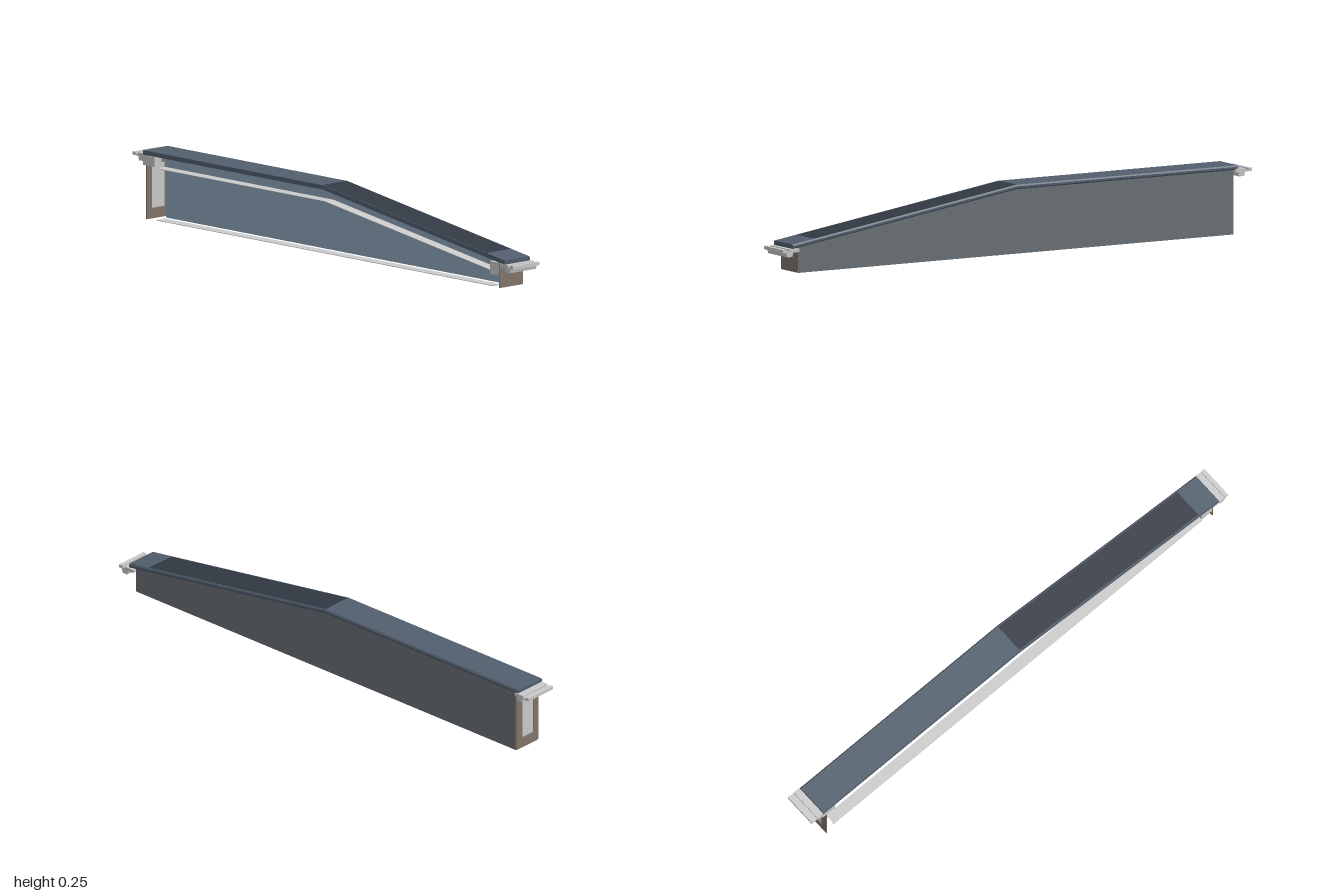
import * as THREE from 'three';

const mat = (color) => new THREE.MeshStandardMaterial({ color, flatShading: true, side: THREE.DoubleSide });
const GREY = mat(0xcccccc), BLUE = mat(0x525f6e), DARK = mat(0x333a44);
const WALL = mat(0x6b7278), PALE = mat(0x90a8be), BROWN = mat(0x82766b);

// height of the cap: level at the rear, sloping down to the front
const top = (z) => (z > 0 ? 0.252 - 0.153 * z : 0.252);

// skin convex cross-sections (counter-clockwise in x, y) placed at rising z
function loft(zs, section) {
  const rings = zs.map((z) => section(z).map(([x, y]) => [x, y, z]));
  const pos = [];
  const tri = (...p) => p.forEach((v) => pos.push(...v));
  const n = rings[0].length;
  for (let i = 0; i < rings.length - 1; i++) {
    for (let j = 0; j < n; j++) {
      const k = (j + 1) % n;
      tri(rings[i][j], rings[i][k], rings[i + 1][k]);
      tri(rings[i][j], rings[i + 1][k], rings[i + 1][j]);
    }
  }
  const first = rings[0], last = rings[rings.length - 1];
  for (let j = 1; j < n - 1; j++) {
    tri(first[0], first[j + 1], first[j]);
    tri(last[0], last[j], last[j + 1]);
  }
  const g = new THREE.BufferGeometry();
  g.setAttribute('position', new THREE.Float32BufferAttribute(pos, 3));
  g.computeVertexNormals();
  return g;
}

const rect = (x0, x1, y0, y1) => [[x0, y0], [x1, y0], [x1, y1], [x0, y1]];
const toShape = (points) => new THREE.Shape(points.map((p) => new THREE.Vector2(...p)));

export function createModel() {
  const model = new THREE.Group();
  const add = (name, geometry, material) => {
    const m = new THREE.Mesh(geometry, material);
    m.name = name;
    model.add(m);
    return m;
  };
  const box = (name, x0, x1, y0, y1, z0, z1, material) => {
    const m = add(name, new THREE.BoxGeometry(x1 - x0, y1 - y0, z1 - z0), material);
    m.position.set((x0 + x1) / 2, (y0 + y1) / 2, (z0 + z1) / 2);
  };

  // folded cap with a chamfered outer edge
  add('cap', loft([-0.945, 0, 0.955], (z) => {
    const t = top(z);
    return [[-0.067, t - 0.016], [0.058, t - 0.016], [0.061, t - 0.012], [0.061, t - 0.005],
      [0.056, t], [-0.067, t]];
  }), BLUE);
  // dark inlay on the slope
  add('slopeInlay', loft([0, 0.86], (z) => rect(-0.062, 0.053, top(z) - 0.001, top(z) + 0.001)), DARK);

  // outer side wall and the pale panel standing behind it
  add('sideWall', loft([-0.926, 0, 0.926], (z) => rect(0.049, 0.053, 0, top(z) - 0.012)), WALL);
  add('innerPanel', loft([-0.905, 0, 0.905], (z) => rect(0.01, 0.012, 0, top(z) - 0.017)), PALE);

  // open side: floor strip and the strip that follows the cap
  box('floorStrip', -0.056, -0.013, 0, 0.002, -0.885, 0.885, GREY);
  add('upperStrip', loft([-0.885, 0, 0.885], (z) => rect(-0.056, -0.013, top(z) - 0.062, top(z) - 0.06)), GREY);

  // rear end panel: a frame around a recessed plate
  const frame = toShape([[-0.065, 0], [0.052, 0], [0.052, 0.238], [-0.065, 0.238]]);
  frame.holes.push(toShape([[-0.038, 0.04], [-0.038, 0.2], [0.02, 0.2], [0.02, 0.04]]));
  add('rearFrame', new THREE.ExtrudeGeometry(frame, { depth: 0.003, bevelEnabled: false }), BROWN)
    .position.z = -0.929;
  box('rearPlate', -0.039, 0.021, 0.039, 0.201, -0.927, -0.925, GREY);
  box('frontPanel', -0.065, 0.052, 0, 0.092, 0.925, 0.928, BROWN);

  // end lips: a sunken shelf, a raised outer rim and a tapered bar beneath
  const lip = (name, y, dir, zBar) => {
    const span = (a, b) => [dir * a, dir * b].sort((p, q) => p - q);
    box(name + 'Shelf', -0.066, 0.065, y - 0.012, y - 0.007, ...span(0.93, 0.986), GREY);
    box(name + 'Rim', -0.066, 0.065, y - 0.012, y, ...span(0.984, 1), GREY);
    box(name + 'Flange', -0.066, 0.065, y - 0.012, y, ...span(0.93, 0.972), GREY);
    const bar = toShape([[-zBar, y - 0.012], [-zBar - 0.004, y - 0.028],
      [-zBar - 0.026, y - 0.028], [-zBar - 0.03, y - 0.012]]);
    const m = add(name + 'Bar', new THREE.ExtrudeGeometry(bar, { depth: 0.131, bevelEnabled: false }), GREY);
    m.rotation.y = Math.PI / 2;
    m.position.x = -0.066;
  };
  lip('frontLip', 0.09, 1, 0.956);
  lip('rearLip', 0.24, -1, -0.97);

  // corner brackets on the open side
  box('rearBracket', -0.066, -0.03, 0.198, 0.235, -0.945, -0.885, GREY);
  box('frontBracket', -0.064, -0.03, 0.045, 0.093, 0.875, 0.925, GREY);
  return model;
}
